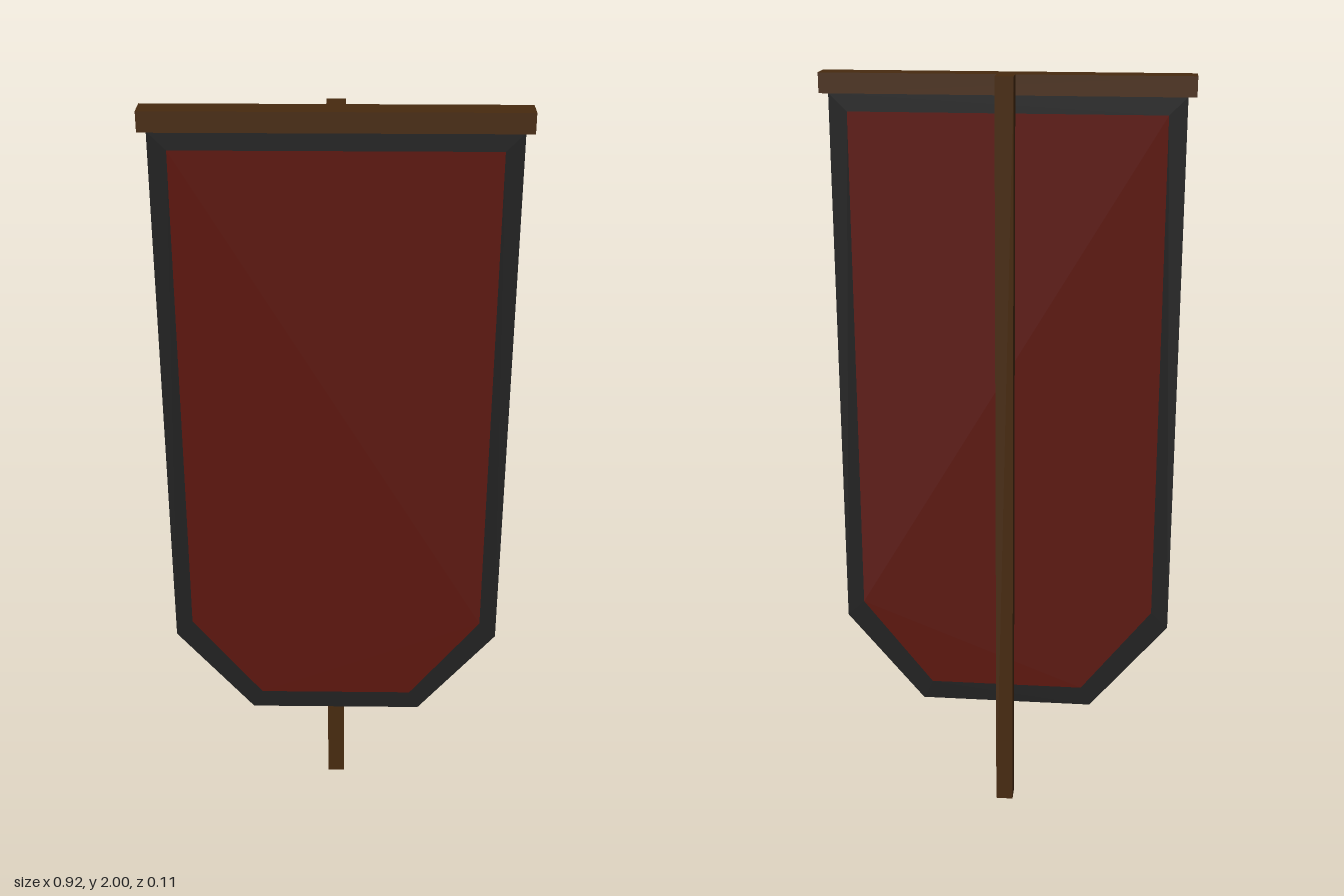
import * as THREE from 'three';

const material = (color) => new THREE.MeshStandardMaterial({ color, flatShading: true });

// Closed outline of the cloth: straight sides, tapered to a narrower hem
function outline(PathType, halfWidth, top, shoulder, halfHem, bottom) {
  const path = new PathType();
  path.moveTo(-halfWidth, top);
  path.lineTo(-halfWidth, shoulder);
  path.lineTo(-halfHem, bottom);
  path.lineTo(halfHem, bottom);
  path.lineTo(halfWidth, shoulder);
  path.lineTo(halfWidth, top);
  path.closePath();
  return path;
}

export function createModel() {
  const group = new THREE.Group();
  group.name = 'banner';
  const wood = material(0x472a0f);
  const trim = material(0x212121);
  const cloth = material(0x5c160e);

  const add = (name, geometry, mat, x, y, z) => {
    const mesh = new THREE.Mesh(geometry, mat);
    mesh.name = name;
    mesh.position.set(x, y, z);
    group.add(mesh);
  };

  // Upright pole behind the cloth, and the bar it hangs from
  add('pole', new THREE.BoxGeometry(0.046, 2, 0.046), wood, 0, 1, -0.033);
  add('crossbar', new THREE.BoxGeometry(0.924, 0.05, 0.066), wood, 0, 1.975, 0.023);

  // Dark border with the red panel set flush inside it
  const inner = [0.396, 1.905, 0.571, 0.208, 0.332];
  const border = outline(THREE.Shape, 0.441, 1.95, 0.529, 0.233, 0.28);
  border.holes.push(outline(THREE.Path, ...inner));
  const extrude = { depth: 0.042, bevelEnabled: false };
  add('border', new THREE.ExtrudeGeometry(border, extrude), trim, 0, 0, 0.004);
  add('clothPanel', new THREE.ExtrudeGeometry(outline(THREE.Shape, ...inner), extrude), cloth, 0, 0, 0.004);

  return group;
}
